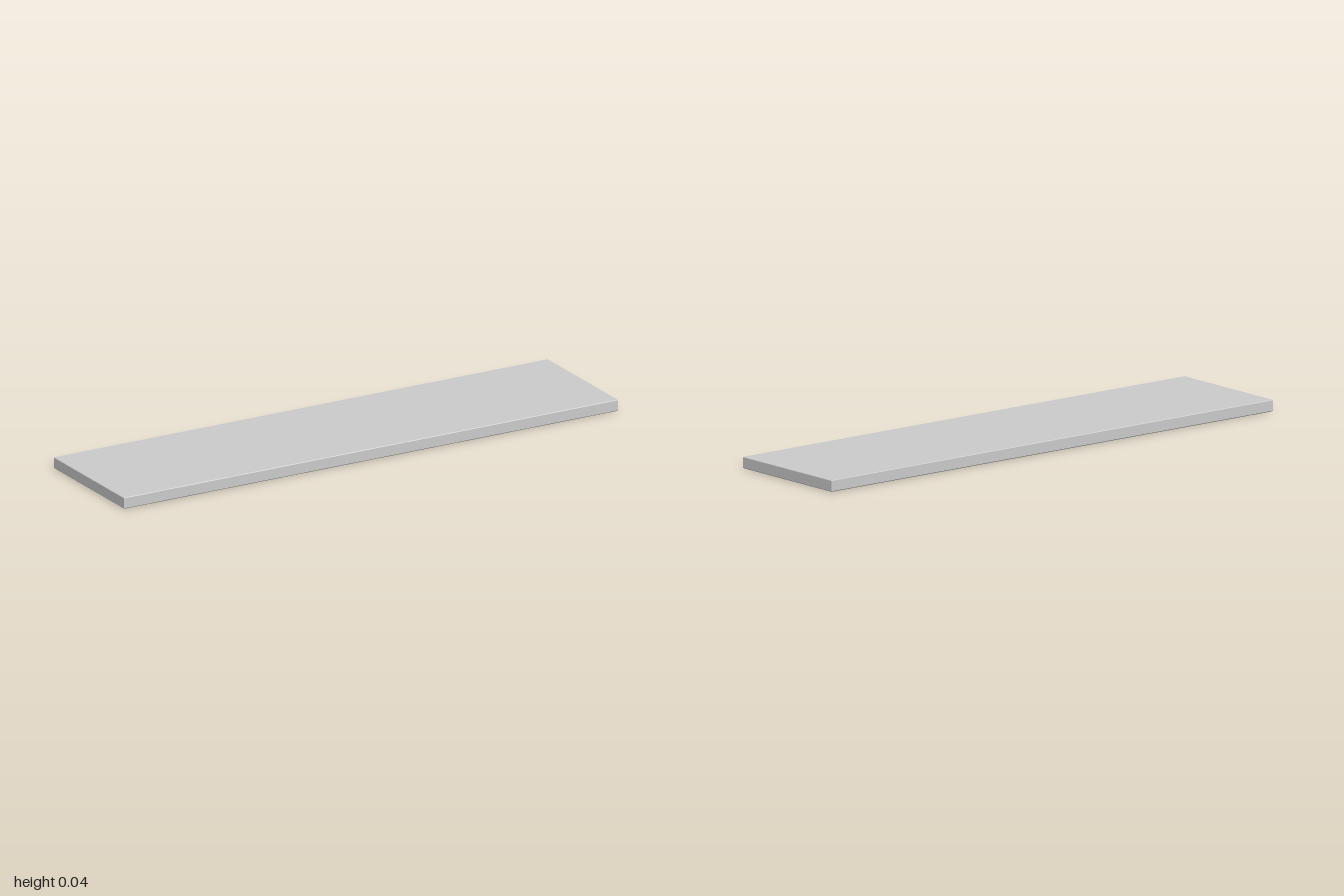
import * as THREE from 'three';

const material = new THREE.MeshStandardMaterial({ color: 0xcccccc, flatShading: true });

const LENGTH = 2, DEPTH = 0.486, HEIGHT = 0.042;
const FACING = 0.004;  // thickness of the underside boards
const BEVEL = 0.003;
const STILE = 0.1;     // width of the end boards
const RAIL = 0.056;    // width of the long edge boards

// Box with a chamfer around its top (dir = 1) or bottom (dir = -1) face
function chamferedBox(w, h, d, bevel, dir) {
  const g = new THREE.BoxGeometry(w, h, d, 1, 2, 1);
  const p = g.attributes.position;
  for (let i = 0; i < p.count; i++) {
    const y = p.getY(i);
    if (Math.abs(y) < 1e-6) {
      p.setY(i, dir * (h / 2 - bevel));
    } else if (y * dir > 0) {
      p.setX(i, p.getX(i) - Math.sign(p.getX(i)) * bevel);
      p.setZ(i, p.getZ(i) - Math.sign(p.getZ(i)) * bevel);
    }
  }
  const flat = g.toNonIndexed();
  flat.computeVertexNormals();
  return flat;
}

export function createModel() {
  const group = new THREE.Group();
  group.name = 'panelBoard';

  const add = (name, geometry, x, y, z) => {
    const mesh = new THREE.Mesh(geometry, material);
    mesh.name = name;
    mesh.position.set(x, y, z);
    group.add(mesh);
  };

  // Main slab with softened top edges
  const slabHeight = HEIGHT - FACING;
  add('slab', chamferedBox(LENGTH, slabHeight, DEPTH, 0.002, 1), 0, FACING + slabHeight / 2, 0);

  // Underside boards; their bevels meet as V grooves
  const under = (name, w, d, x, z) =>
    add(name, chamferedBox(w, FACING, d, BEVEL, -1), x, FACING / 2, z);

  const innerLength = LENGTH - 2 * STILE;
  const innerDepth = DEPTH - 2 * RAIL;
  for (const s of [1, -1]) {
    under(s > 0 ? 'leftStile' : 'rightStile', STILE, DEPTH, s * (LENGTH - STILE) / 2, 0);
    under(s > 0 ? 'frontRail' : 'backRail', innerLength, RAIL, 0, s * (DEPTH - RAIL) / 2);
  }
  under('centrePanel', innerLength, innerDepth, 0, 0);

  return group;
}
